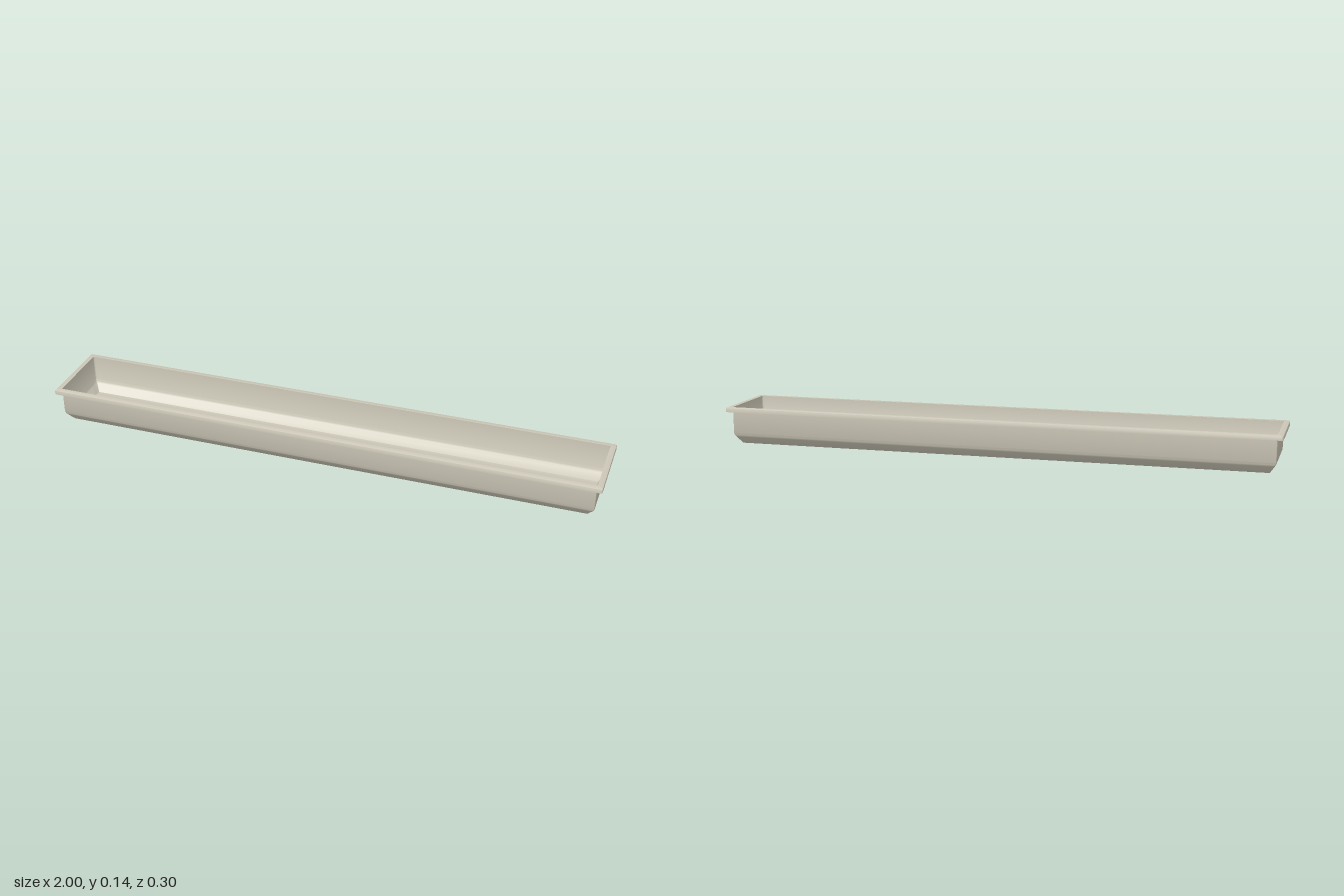
import * as THREE from 'three';
import { toCreasedNormals } from 'three/addons/utils/BufferGeometryUtils.js';

// Cross-floor positions, as fractions of the half width, and the ripple height at each
const RIPPLE = [[-0.98, 0], [-0.8, 0.002], [-0.55, 0.006], [-0.3, 0.002], [0.3, 0.002], [0.6, 0.006], [0.82, 0.002], [0.98, 0]];

// Rounded rectangle: the +x end from back to front, then its mirror at -x
function ring([hx, hz, y, r, rippled]) {
  const end = [];
  const corner = (sign, from, to) => {
    for (let i = 0; i <= 3; i++) {
      const a = from + (to - from) * i / 3;
      end.push([hx - r + r * Math.cos(a), y, sign * (hz - r) + r * Math.sin(a)]);
    }
  };
  corner(-1, -Math.PI / 2, 0);
  for (const [f, h] of RIPPLE) end.push([hx, y + (rippled ? h : 0), f * (hz - r)]);
  corner(1, 0, Math.PI / 2);
  return [...end, ...end.map(([x, py, z]) => [-x, py, z]).reverse()];
}

// Skin a list of rings from the top down, with an optional floor across the last one
function loft(profile, withFloor) {
  const rings = profile.map(ring);
  const n = rings[0].length;
  const index = [];
  const quad = (a, b, c, d) => index.push(a, b, c, a, c, d);
  for (let k = 0; k < rings.length - 1; k++) {
    for (let i = 0; i < n; i++) {
      const j = (i + 1) % n;
      quad(k * n + j, (k + 1) * n + j, (k + 1) * n + i, k * n + i);
    }
  }
  if (withFloor) {
    const base = (rings.length - 1) * n;
    for (let i = 0; i < n / 2 - 1; i++) {
      quad(base + i, base + i + 1, base + n - 2 - i, base + n - 1 - i);
    }
  }
  const geometry = new THREE.BufferGeometry();
  geometry.setAttribute('position', new THREE.Float32BufferAttribute(rings.flat(2), 3));
  geometry.setIndex(index);
  return toCreasedNormals(geometry, 0.6);
}

export function createModel() {
  const group = new THREE.Group();
  group.name = 'trough';
  const stone = new THREE.MeshStandardMaterial({ color: 0xcdc8b8, side: THREE.DoubleSide });
  stone.name = 'warm grey';

  // Each row: half length, half width, height, corner radius, rippled
  const basin = new THREE.Mesh(loft([
    [0.98, 0.128, 0.136, 0.004],
    [0.979, 0.128, 0.04, 0.004],
    [0.977, 0.126, 0.032, 0.004],
    [0.973, 0.122, 0.026, 0.004],
    [0.956, 0.102, 0, 0.003, true],
  ], true), stone);
  basin.name = 'basin';

  // Flat rim with a turned-down lip
  const rim = new THREE.Mesh(loft([
    [0.98, 0.128, 0.136, 0.004],
    [0.996, 0.144, 0.136, 0.004],
    [0.999, 0.147, 0.134, 0.005],
    [1, 0.148, 0.131, 0.006],
    [1, 0.148, 0.12, 0.006],
  ], false), stone);
  rim.name = 'rim';

  group.add(basin, rim);
  return group;
}
